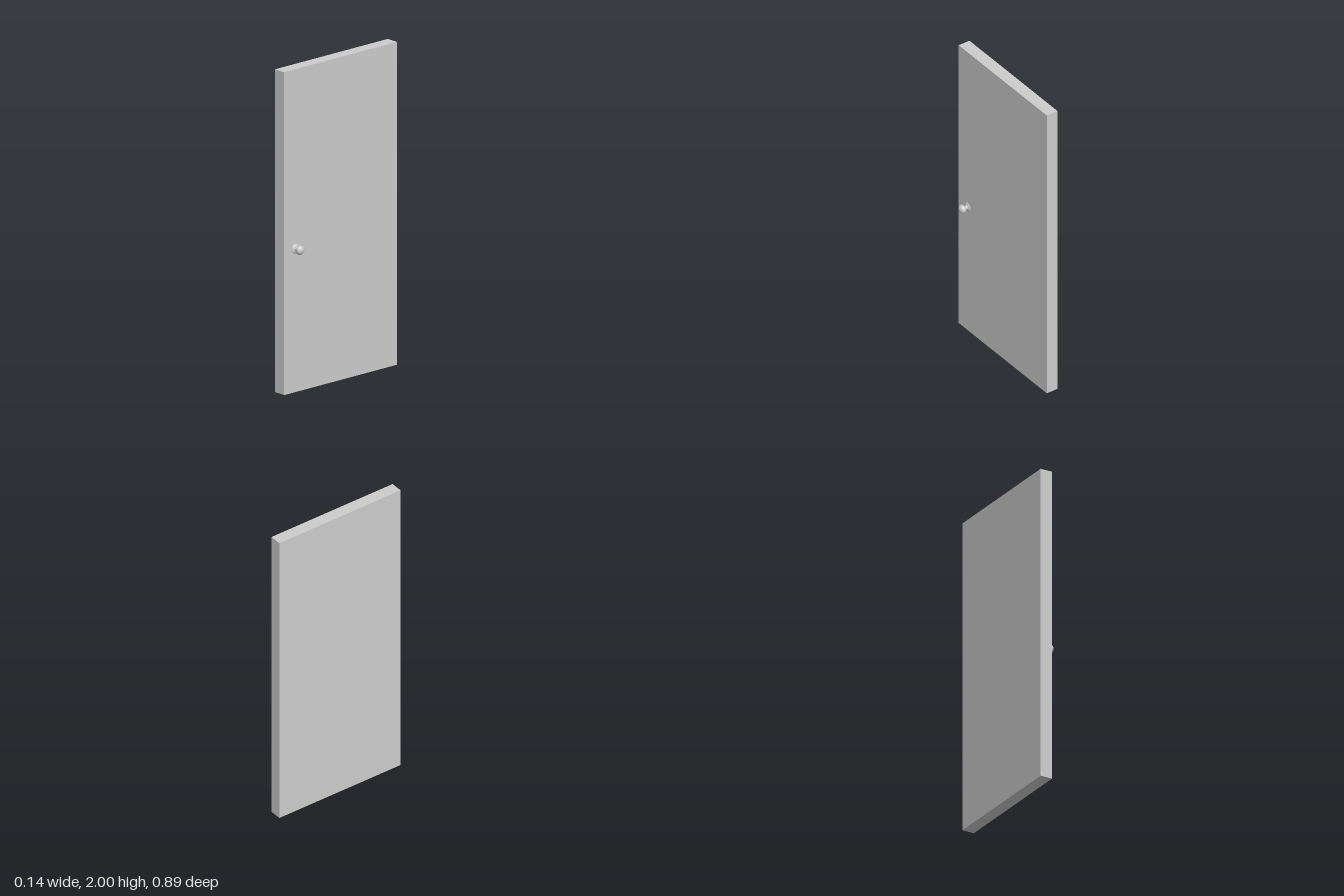
import * as THREE from 'three';

export function createModel() {
  const group = new THREE.Group();
  const material = new THREE.MeshStandardMaterial({ color: 0xcccccc });
  const faceX = 0.009;

  // Plain door slab
  const door = new THREE.Mesh(new THREE.BoxGeometry(0.079, 2, 0.894), material);
  door.name = 'doorPanel';
  door.position.set(faceX - 0.0395, 1, 0);
  group.add(door);

  // Turned knob: flared rose, narrow neck and rounded grip
  const flare = new THREE.CubicBezierCurve3(
    new THREE.Vector3(0.03, 0, 0), new THREE.Vector3(0.025, 0.005, 0),
    new THREE.Vector3(0.018, 0.007, 0), new THREE.Vector3(0.013, 0.009, 0));
  const profile = flare.getPoints(6).map(p => new THREE.Vector2(p.x, p.y));
  profile.push(new THREE.Vector2(0.013, 0.02));
  const gripCentre = 0.0395, gripDepth = 0.0205, gripRadius = 0.028;
  for (let i = 0; i <= 16; i++) {
    const a = THREE.MathUtils.lerp(-1.07, Math.PI / 2, i / 16);
    profile.push(new THREE.Vector2(
      Math.max(0, gripRadius * Math.cos(a)), gripCentre + gripDepth * Math.sin(a)));
  }
  const knob = new THREE.Mesh(new THREE.LatheGeometry(profile, 32), material);
  knob.name = 'doorKnob';
  knob.rotation.z = -Math.PI / 2;
  knob.position.set(faceX, 0.887, 0.355);
  group.add(knob);

  return group;
}
